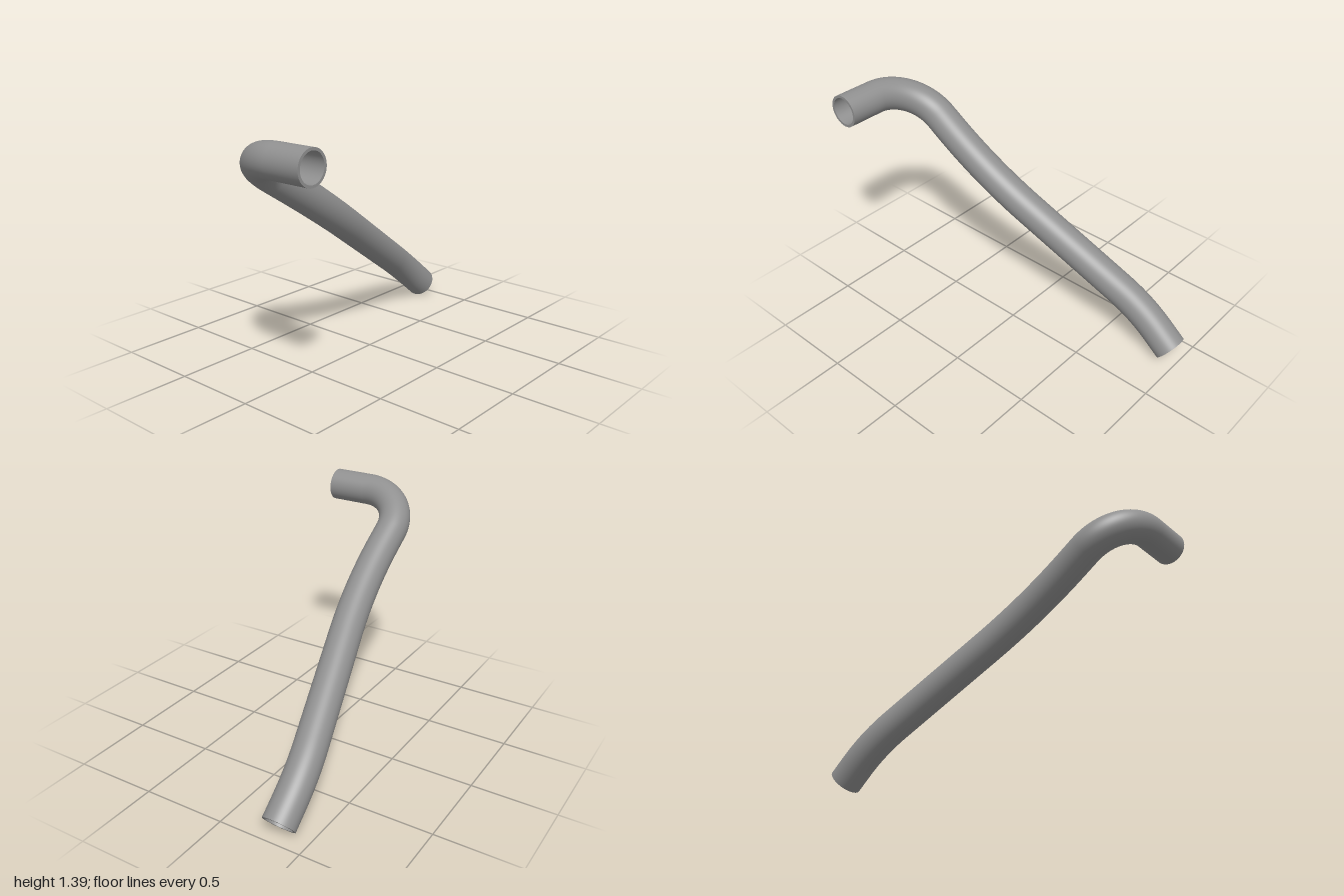
import * as THREE from 'three';

const OUTER = 0.096, INNER = 0.081, SIDES = 64, STEPS = 240;

// Straight runs joined by circular bends; each bend is [corner, tangent length]
function bentPath(start, bends, end) {
  const path = new THREE.CurvePath();
  let from = start;
  bends.forEach(([corner, t], i) => {
    const next = i + 1 < bends.length ? bends[i + 1][0] : end;
    const dirIn = corner.clone().sub(from).normalize();
    const dirOut = next.clone().sub(corner).normalize();
    const a = corner.clone().addScaledVector(dirIn, -t);
    const b = corner.clone().addScaledVector(dirOut, t);
    const angle = dirIn.angleTo(dirOut);
    const handle = (4 / 3) * Math.tan(angle / 4) * t / Math.tan(angle / 2);
    path.add(new THREE.LineCurve3(from, a));
    path.add(new THREE.CubicBezierCurve3(
      a, a.clone().addScaledVector(dirIn, handle),
      b.clone().addScaledVector(dirOut, -handle), b));
    from = b;
  });
  path.add(new THREE.LineCurve3(from, end));
  return path;
}

// Turn a surface inside out
function flip(geometry) {
  const index = geometry.index, normal = geometry.attributes.normal;
  for (let i = 0; i < index.count; i += 3) {
    const k = index.getX(i);
    index.setX(i, index.getX(i + 2));
    index.setX(i + 2, k);
  }
  for (let i = 0; i < normal.count; i++) {
    normal.setXYZ(i, -normal.getX(i), -normal.getY(i), -normal.getZ(i));
  }
  return geometry;
}

export function createModel() {
  const group = new THREE.Group();
  group.name = 'bentPipe';
  const grey = new THREE.MeshStandardMaterial({ color: 0x909090 });
  grey.name = 'grey';

  const v = (x, y, z) => new THREE.Vector3(x, y, z);
  const start = v(0.426, 1.3, 0.904), end = v(-0.334, 0.079, -0.937);
  const path = bentPath(start, [
    [v(-0.094, 1.3, 0.904), 0.29],
    [v(-0.095, 0.907, 0.29), 0.34],
    [v(-0.334, 0.265, -0.712), 0.17],
  ], end);

  const add = (name, geometry) => {
    const mesh = new THREE.Mesh(geometry, grey);
    mesh.name = name;
    group.add(mesh);
    return mesh;
  };

  // Pipe wall, outside and inside
  add('outerWall', new THREE.TubeGeometry(path, STEPS, OUTER, SIDES));
  add('innerWall', flip(new THREE.TubeGeometry(path, STEPS, INNER, SIDES)));

  // Flat rims closing the wall at both open ends
  [['upperRim', start, path.getTangentAt(0).negate()],
    ['lowerRim', end, path.getTangentAt(1)]].forEach(([name, at, facing]) => {
    const rim = add(name, new THREE.RingGeometry(INNER, OUTER, SIDES));
    rim.position.copy(at);
    rim.quaternion.setFromUnitVectors(v(0, 0, 1), facing);
  });

  return group;
}
